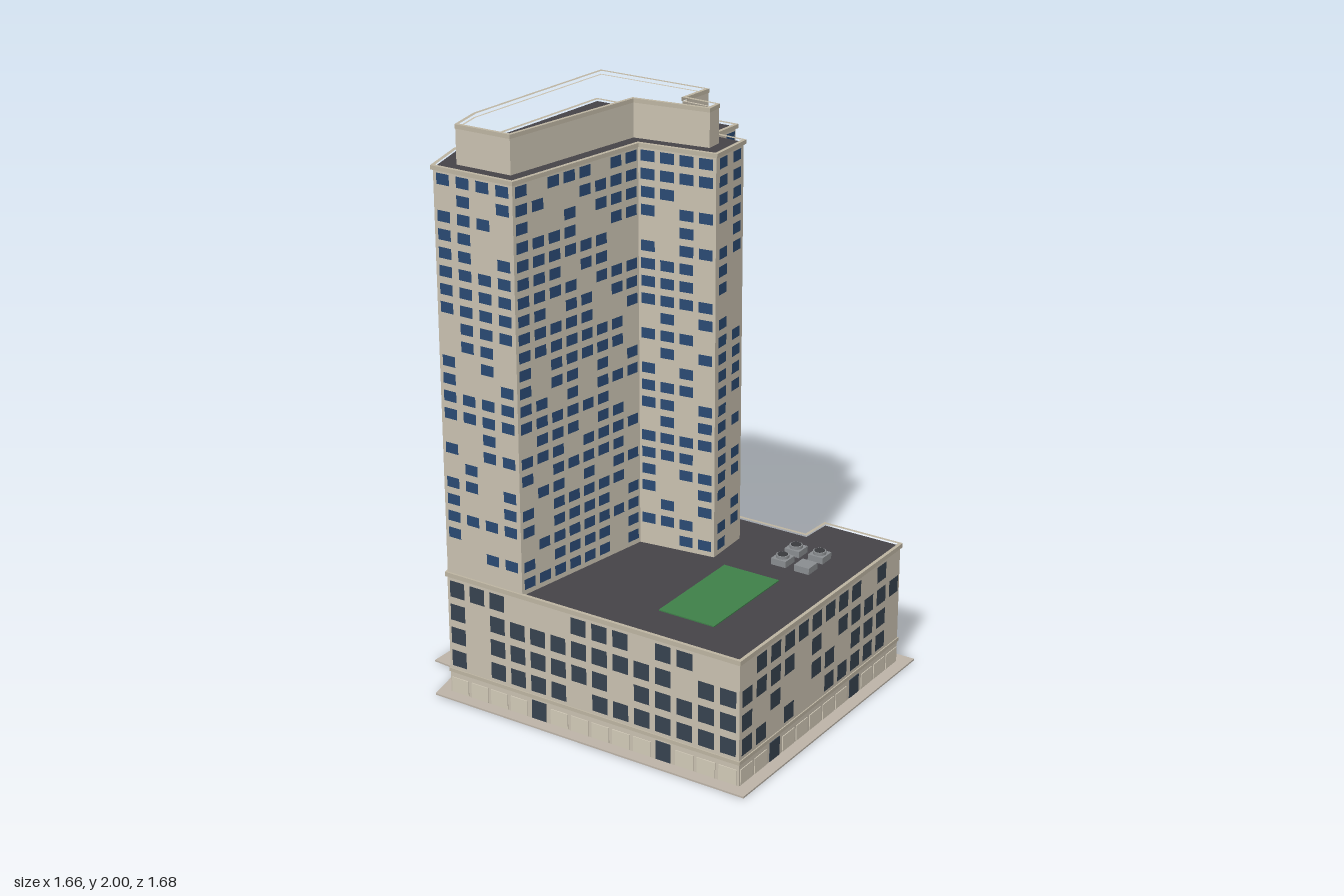
import * as THREE from 'three';
import { mergeGeometries } from 'three/addons/utils/BufferGeometryUtils.js';

const paint = (color) => new THREE.MeshStandardMaterial({ color });
const WALL = paint(0xc9c1b0), TRIM = paint(0xbdb5a2), ROOF = paint(0x454348), PANEL = paint(0xd2cab8);
const TOWER_GLASS = paint(0x2a4a73), PODIUM_GLASS = paint(0x37424f), PAVING = paint(0xbdb4a8);
const LAWN = paint(0x3f8049), METAL = paint(0x8a8d90), FAN = paint(0x3a3b3e);

// Plan outlines as [x, z], clockwise seen from above
const GROUND = [[-0.23, -0.84], [0.47, -0.145], [0.555, -0.22], [0.83, 0.055], [0.035, 0.838],
  [-0.835, -0.04], [-0.735, -0.195], [-0.808, -0.28]];
const PODIUM = [[-0.23, -0.773], [0.467, -0.08], [0.555, -0.157], [0.765, 0.055], [0.035, 0.773],
  [-0.78, -0.045], [-0.685, -0.208], [-0.745, -0.28]];
const TOWER = [[-0.138, -0.69], [0.255, -0.293], [0.16, -0.205], [0.24, -0.113], [0.12, 0.018],
  [-0.1, -0.155], [-0.56, 0.175], [-0.778, -0.045], [-0.685, -0.208]];
const CROWN = [[-0.14, -0.6], [0.163, -0.295], [0.07, -0.213], [0.158, -0.113], [0.117, -0.067],
  [-0.1, -0.233], [-0.552, 0.094], [-0.702, -0.055], [-0.628, -0.168]];

// Walls of an outline: start, direction, length, outward normal
function edges(poly) {
  return poly.map((p, i) => {
    const q = poly[(i + 1) % poly.length];
    const len = Math.hypot(q[0] - p[0], q[1] - p[1]);
    const d = [(q[0] - p[0]) / len, (q[1] - p[1]) / len];
    return { p, d, len, n: [d[1], -d[0]] };
  });
}

// Mitred offset of an outline
function offset(poly, t) {
  const e = edges(poly);
  return poly.map((p, i) => {
    const a = e[(i + e.length - 1) % e.length].n, b = e[i].n;
    const k = t / (1 + a[0] * b[0] + a[1] * b[1]);
    return [p[0] + (a[0] + b[0]) * k, p[1] + (a[1] + b[1]) * k];
  });
}

const toPoints = (poly) => poly.map(([x, z]) => new THREE.Vector2(x, -z));

// Upright prism over an outline, optionally hollow
function prism(poly, y0, y1, hole) {
  const shape = new THREE.Shape(toPoints(poly));
  if (hole) shape.holes.push(new THREE.Path(toPoints(hole)));
  return new THREE.ExtrudeGeometry(shape, { depth: y1 - y0, bevelEnabled: false })
    .rotateX(-Math.PI / 2).translate(0, y0, 0);
}

// Place a geometry facing +z on a wall, at distance s along it
const onWall = (geo, e, s, y, out) => geo.rotateY(Math.atan2(e.n[0], e.n[1]))
  .translate(e.p[0] + e.d[0] * s + e.n[0] * out, y, e.p[1] + e.d[1] * s + e.n[1] * out);

function seeded(seed) {
  let s = seed;
  return () => (s = (s * 16807) % 2147483647) / 2147483647;
}

// Grid of windows over every wall, with some left blank
function windows(poly, { pitch, width, height, y0, rowStep, rows, filled, seed }) {
  const rand = seeded(seed), list = [];
  for (const e of edges(poly)) {
    const cols = Math.max(1, Math.round(e.len / pitch)), step = e.len / cols;
    for (let r = 0; r < rows; r++) {
      for (let c = 0; c < cols; c++) {
        if (rand() > filled) continue;
        list.push(onWall(new THREE.PlaneGeometry(Math.min(width, step * 0.75), height),
          e, (c + 0.5) * step, y0 + r * rowStep, 0.002));
      }
    }
  }
  return mergeGeometries(list);
}

export function createModel() {
  const model = new THREE.Group();
  const add = (name, geo, mat, parent = model) => {
    const mesh = new THREE.Mesh(geo, mat);
    mesh.name = name;
    parent.add(mesh);
    return mesh;
  };

  add('pavement', prism(GROUND, 0, 0.006), PAVING);

  // Podium block
  add('podiumWalls', prism(PODIUM, 0.006, 0.445), WALL);
  add('podiumRoof', prism(offset(PODIUM, -0.004), 0.44, 0.451), ROOF);
  add('podiumCornice', prism(offset(PODIUM, 0.006), 0.442, 0.458, offset(PODIUM, -0.006)), TRIM);
  add('shopBand', prism(offset(PODIUM, 0.004), 0.084, 0.097, offset(PODIUM, -0.004)), TRIM);
  add('podiumWindows', windows(PODIUM, {
    pitch: 0.083, width: 0.06, height: 0.06, y0: 0.14, rowStep: 0.0865, rows: 4, filled: 0.74, seed: 77,
  }), PODIUM_GLASS);

  // Ground floor panels and doors
  const panels = [], doors = [];
  for (const e of edges(PODIUM)) {
    const count = Math.max(1, Math.round(e.len / 0.083)), step = e.len / count;
    for (let i = 0; i < count; i++) {
      const door = i % 6 === 3;
      const h = door ? 0.068 : 0.056;
      const geo = new THREE.BoxGeometry(step * (door ? 0.7 : 0.84), h, 0.004);
      (door ? doors : panels).push(onWall(geo, e, (i + 0.5) * step, 0.008 + h / 2, 0.001));
    }
  }
  add('shopPanels', mergeGeometries(panels), PANEL);
  add('shopDoors', mergeGeometries(doors), PODIUM_GLASS);

  // Tower
  add('towerWalls', prism(TOWER, 0.445, 1.862), WALL);
  add('towerRoof', prism(offset(TOWER, -0.004), 1.855, 1.868), ROOF);
  add('towerCornice', prism(offset(TOWER, 0.007), 1.861, 1.875, offset(TOWER, -0.006)), TRIM);
  add('towerWindows', windows(TOWER, {
    pitch: 0.072, width: 0.05, height: 0.037, y0: 0.488, rowStep: 0.0612, rows: 23, filled: 0.7, seed: 4321,
  }), TOWER_GLASS);

  // Open screen wall on the tower roof
  add('roofScreen', prism(CROWN, 1.865, 1.986, offset(CROWN, -0.008)), WALL);
  add('roofScreenCap', prism(offset(CROWN, 0.002), 1.986, 2, offset(CROWN, -0.01)), TRIM);

  // Roof garden
  add('lawn', prism([[0.14, 0.088], [0.292, 0.24], [0.008, 0.522], [-0.142, 0.37]], 0.45, 0.455), LAWN);

  // Rooftop cooling units, three with fans
  [[0.4, 0.043], [0.337, 0.108], [0.466, 0.106], [0.4, 0.175]].forEach(([x, z], i) => {
    const unit = new THREE.Group();
    unit.name = 'coolingUnit';
    unit.position.set(x, 0.45, z);
    unit.rotation.y = Math.PI / 4;
    add('unitBox', new THREE.BoxGeometry(0.058, 0.024, 0.058).translate(0, 0.012, 0), METAL, unit);
    if (i < 3) {
      add('fanRing', new THREE.CylinderGeometry(0.023, 0.023, 0.01, 12).translate(0, 0.029, 0), METAL, unit);
      add('fan', new THREE.CylinderGeometry(0.018, 0.018, 0.002, 12).translate(0, 0.035, 0), FAN, unit);
    }
    model.add(unit);
  });

  return model;
}
